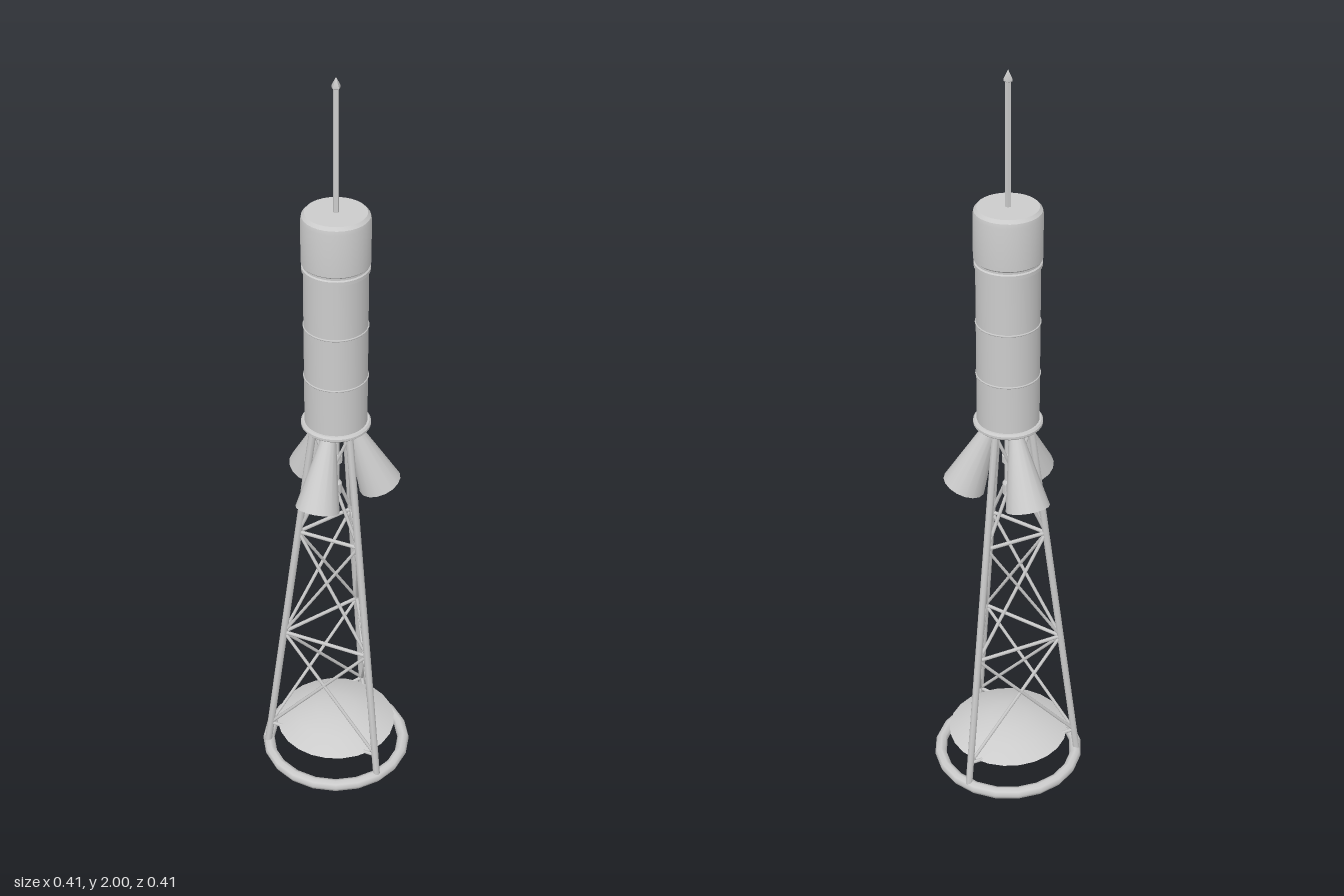
import * as THREE from 'three';
import { toCreasedNormals } from 'three/addons/utils/BufferGeometryUtils.js';

const material = new THREE.MeshStandardMaterial({ color: 0xcccccc });
const thinMaterial = new THREE.MeshStandardMaterial({ color: 0xcccccc, side: THREE.DoubleSide });
const UP = new THREE.Vector3(0, 1, 0);

export function createModel() {
  const model = new THREE.Group();
  model.name = 'rocketOnTripod';

  const add = (name, geometry, mat = material) => {
    const mesh = new THREE.Mesh(geometry, mat);
    mesh.name = name;
    model.add(mesh);
    return mesh;
  };

  // Round bar or cone from point a to point b
  const bar = (name, a, b, ra, rb = ra, sides = 8, open = false) => {
    const dir = b.clone().sub(a);
    const geometry = new THREE.CylinderGeometry(rb, ra, dir.length(), sides, 1, open);
    const mesh = add(name, geometry, open ? thinMaterial : material);
    mesh.position.copy(a).add(b).multiplyScalar(0.5);
    mesh.quaternion.setFromUnitVectors(UP, dir.normalize());
    return mesh;
  };

  const lathe = (name, points, sides, mat) => add(name, toCreasedNormals(
    new THREE.LatheGeometry(points.map(([r, y]) => new THREE.Vector2(r, y)), sides), 0.5), mat);

  const polar = (angle, r, y) => new THREE.Vector3(Math.sin(angle) * r, y, Math.cos(angle) * r);

  // Base ring and shallow deflector dish
  const ring = add('baseRing', new THREE.TorusGeometry(0.188, 0.016, 8, 20));
  ring.rotation.x = Math.PI / 2;
  ring.position.y = 0.016;
  lathe('deflectorDish', [[0.162, 0.09], [0.108, 0.116], [0.054, 0.129], [0, 0.132]], 24, thinMaterial);

  // Tapering lattice tripod: three legs, rungs and crossed braces
  const legPoint = (i, y) => polar(i * Math.PI * 2 / 3, 0.19 - 0.127 * (y - 0.02), y);
  const levels = [0.09, 0.415, 0.75, 1.07];
  for (let i = 0; i < 3; i++) {
    bar('leg', legPoint(i, 0.02), legPoint(i, 1.085), 0.0095);
    levels.forEach((y, k) => {
      bar('rung', legPoint(i, y), legPoint(i + 1, y), 0.005, 0.005, 6);
      if (k === levels.length - 1) return;
      bar('brace', legPoint(i, y), legPoint(i + 1, levels[k + 1]), 0.0045, 0.0045, 6);
      bar('brace', legPoint(i + 1, y), legPoint(i, levels[k + 1]), 0.0045, 0.0045, 6);
    });

    // Splayed engine bell between each pair of legs
    const angle = i * Math.PI * 2 / 3 + Math.PI;
    const throat = polar(angle, 0.043, 1.065);
    bar('engineBell', polar(angle, 0.112, 0.891), throat, 0.056, 0.018, 16, true);
    bar('engineMount', throat, polar(angle, 0.036, 1.09), 0.018, 0.018, 12);
  }

  // Central feed pipe with collars
  lathe('feedPipe', [
    [0, 0.87], [0.015, 0.87], [0.015, 0.9], [0.009, 0.91], [0.009, 0.96], [0.016, 0.965],
    [0.016, 0.985], [0.009, 0.99], [0.009, 1.04], [0.018, 1.05], [0.018, 1.085],
  ], 12);

  // Body with base flange, waist band and wider bevelled cap
  lathe('body', [
    [0, 1.08], [0.083, 1.08], [0.087, 1.084], [0.087, 1.09], [0.083, 1.095], [0.078, 1.095],
    [0.078, 1.517], [0.082, 1.519], [0.082, 1.528], [0.079, 1.531], [0.079, 1.536],
    [0.083, 1.54], [0.083, 1.65], [0.081, 1.66], [0.074, 1.668], [0, 1.668],
  ], 32);

  // Thin joint rings
  for (const y of [1.225, 1.367]) {
    const joint = add('jointRing', new THREE.TorusGeometry(0.078, 0.0025, 6, 32));
    joint.rotation.x = Math.PI / 2;
    joint.position.y = y;
  }

  // Antenna with pointed tip
  lathe('antenna', [
    [0.0075, 1.665], [0.0075, 1.972], [0.0105, 1.974], [0.0105, 1.98], [0, 2],
  ], 5);

  return model;
}
